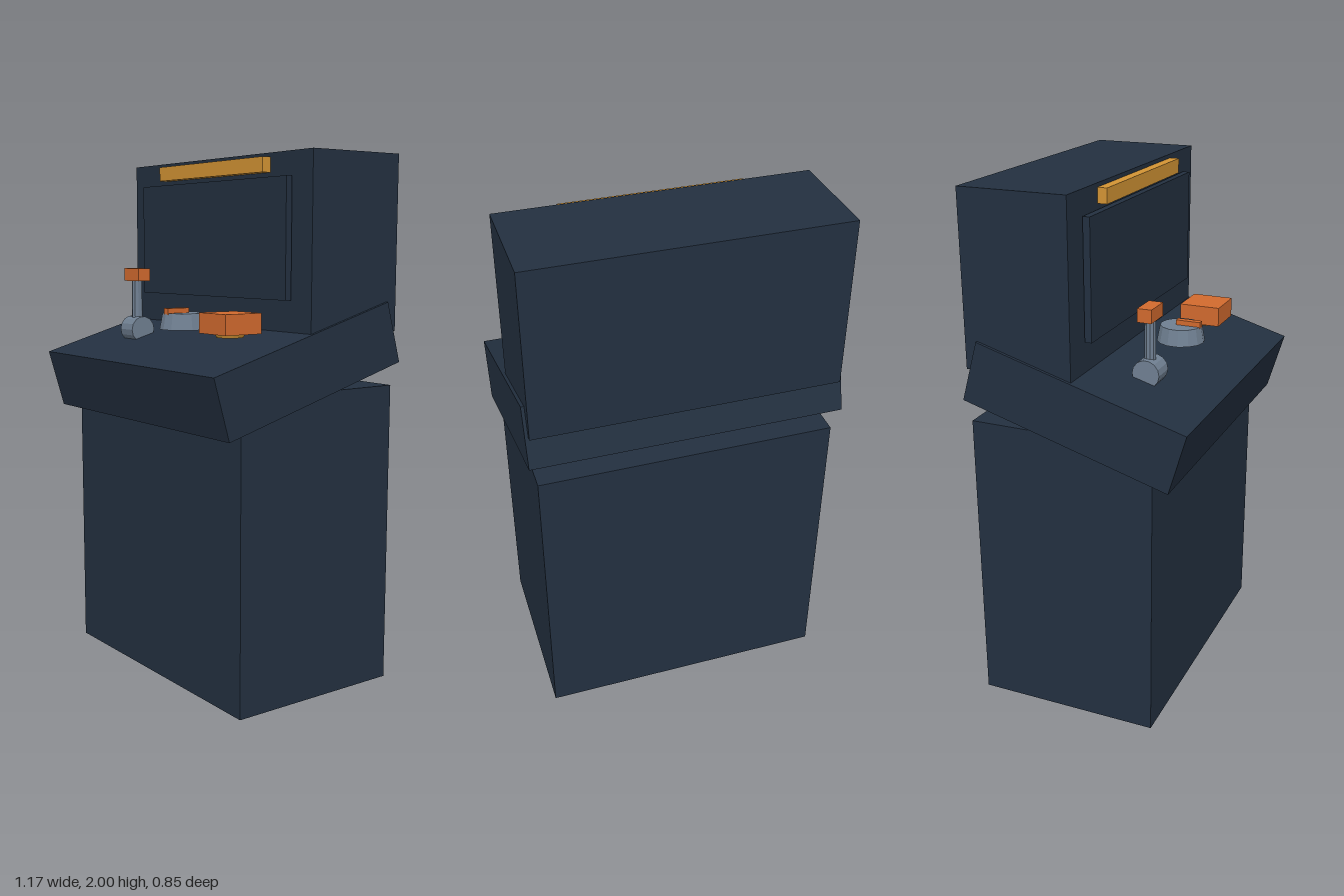
import * as THREE from 'three';

const material = (name, color) => {
  const m = new THREE.MeshStandardMaterial({ color, flatShading: true });
  m.name = name;
  return m;
};

export function createModel() {
  const group = new THREE.Group();
  group.name = 'controlConsole';
  const navy = material('navy', 0x233040);
  const gold = material('gold', 0xd39434);
  const orange = material('orange', 0xd26a2e);
  const steel = material('steel', 0x708092);

  const add = (name, geometry, mat, x, y, z) => {
    const mesh = new THREE.Mesh(geometry, mat);
    mesh.name = name;
    mesh.position.set(x, y, z);
    group.add(mesh);
    return mesh;
  };
  // Box given by its lower and upper limits on each axis
  const box = (name, mat, [x0, x1], [y0, y1], [z0, z1]) =>
    add(name, new THREE.BoxGeometry(x1 - x0, y1 - y0, z1 - z0), mat,
      (x0 + x1) / 2, (y0 + y1) / 2, (z0 + z1) / 2);

  // Cabinet, sloping desk and upright back panel
  box('cabinet', navy, [-0.56, 0.556], [0, 1.15], [-0.41, 0.295]);
  const desk = add('slopingDesk', new THREE.BoxGeometry(1.172, 0.234, 0.822), navy, -0.002, 1.2375, 0.002);
  desk.rotation.x = 0.28;
  box('backPanel', navy, [-0.576, 0.572], [1.355, 2], [-0.41, 0]);
  box('screen', navy, [-0.472, 0.467], [1.475, 1.912], [0.006, 0.032]);
  box('lightBar', gold, [-0.34, 0.336], [1.93, 1.985], [0, 0.036]);

  // Lever: drum lying across the desk, shaft and grip
  const drum = add('leverDrum', new THREE.CylinderGeometry(0.052, 0.052, 0.088, 14), steel, -0.296, 1.337, 0.178);
  drum.rotation.z = Math.PI / 2;
  add('leverShaft', new THREE.CylinderGeometry(0.02, 0.022, 0.2, 10), steel, -0.296, 1.44, 0.178);
  box('leverGrip', orange, [-0.35, -0.242], [1.53, 1.58], [0.15, 0.204]);

  // Dial with pointer
  add('dial', new THREE.CylinderGeometry(0.08, 0.092, 0.062, 14), steel, 0.028, 1.386, 0.172);
  box('dialPointer', orange, [0.016, 0.041], [1.412, 1.436], [0.156, 0.252]);

  // Push button on its collar
  box('pushButton', orange, [0.241, 0.402], [1.355, 1.43], [0.088, 0.249]);
  add('buttonCollar', new THREE.CylinderGeometry(0.06, 0.05, 0.025, 16), gold, 0.321, 1.354, 0.169);

  return group;
}
